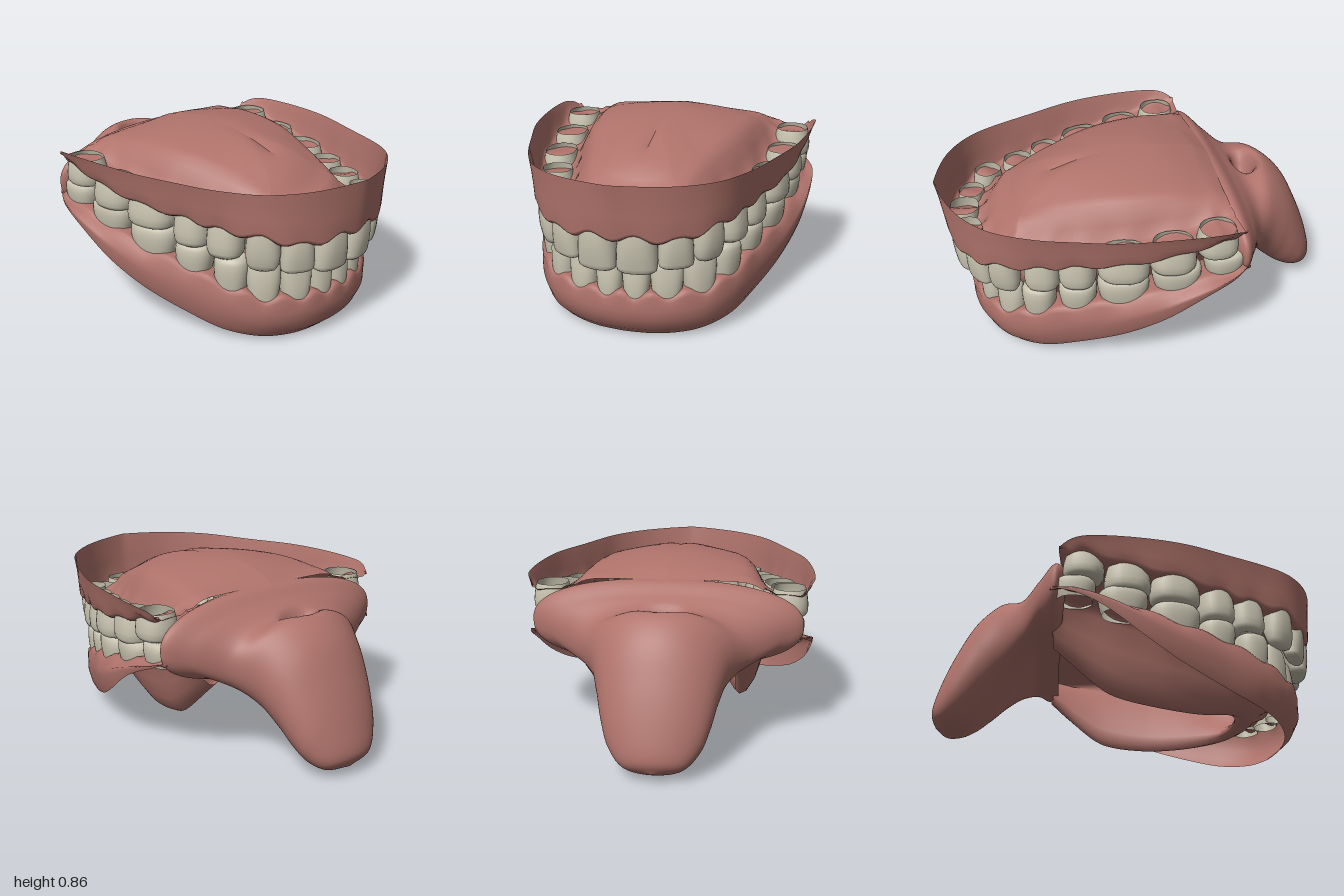
import * as THREE from 'three';

const gum = new THREE.MeshStandardMaterial({ color: 0xaf736b, side: THREE.DoubleSide });
gum.name = 'gum pink';
const enamel = new THREE.MeshStandardMaterial({ color: 0xc8c3b0, side: THREE.DoubleSide });
enamel.name = 'tooth ivory';

const V = (x, y, z) => new THREE.Vector3(x, y, z);
const lerp = THREE.MathUtils.lerp;

// Smooth surface through rows of points; closed joins each row's end to its start
function loft(rows, closed = false) {
  const m = rows[0].length, pos = [], idx = [];
  rows.forEach(r => r.forEach(p => pos.push(p.x, p.y, p.z)));
  for (let i = 0; i < rows.length - 1; i++) {
    for (let j = 0; j < (closed ? m : m - 1); j++) {
      const a = i * m + j, b = i * m + (j + 1) % m, c = a + m, d = b + m;
      idx.push(a, b, c, b, d, c);
    }
  }
  const g = new THREE.BufferGeometry();
  g.setAttribute('position', new THREE.Float32BufferAttribute(pos, 3));
  g.setIndex(idx);
  g.computeVertexNormals();
  return g;
}

function part(name, geo, mat) {
  const m = new THREE.Mesh(geo, mat);
  m.name = name;
  return m;
}

// Smooth lookup in a short table of [key, value], keys rising
function table(t, x) {
  const last = t.length - 1;
  if (x <= t[0][0]) return t[0][1];
  if (x >= t[last][0]) return t[last][1];
  const i = t.findIndex(e => x < e[0]), h = t[i][0] - t[i - 1][0], f = (x - t[i - 1][0]) / h;
  const slope = k => {
    const a = t[Math.max(0, k - 1)], b = t[Math.min(last, k + 1)];
    return (b[1] - a[1]) / (b[0] - a[0]) * h;
  };
  const s = f * f * (3 - 2 * f);
  return lerp(t[i - 1][1], t[i][1], s) + slope(i - 1) * f * (1 - f) ** 2 - slope(i) * f * f * (1 - f);
}

const sup = (c, n) => Math.sign(c) * Math.pow(Math.abs(c), 2 / n);

// Jaw data: one entry per tooth from the middle to the back, then the end of the gum
const upper = {
  at: [[.09, .86], [.25, .81], [.365, .71], [.43, .54], [.48, .38], [.545, .17], [.575, -.06], [.585, -.27], [.575, -.385]],
  w: [.185, .16, .16, .175, .18, .25, .225, .2, .2],
  d: [.16, .135, .14, .15, .16, .17, .17, .17, .14],
  gum: [.55, .535, .575, .58, .6, .625, .66, .71, .725],
  tip: [.36, .38, .385, .42, .445, .495, .53, .595, .6], dir: -1, scallop: .032,
};
const lower = {
  at: [[.062, .79], [.195, .76], [.325, .68], [.41, .56], [.47, .38], [.53, .17], [.57, -.08], [.58, -.31], [.57, -.42]],
  w: [.128, .15, .16, .165, .185, .25, .24, .2, .2],
  d: [.12, .12, .13, .14, .15, .16, .16, .15, .12],
  gum: [.21, .215, .225, .275, .335, .38, .45, .51, .53],
  tip: [.37, .37, .42, .425, .455, .505, .555, .6, .6], dir: 1, scallop: .028,
};
for (const j of [upper, lower]) {
  const half = j.at.map(([x, z]) => V(x, 0, z));
  j.curve = new THREE.CatmullRomCurve3([...half].reverse().concat(half.map(p => V(-p.x, 0, p.z))));
}

// Position, outward direction and interpolated sizes at index i (1..16 are teeth)
function sample(jaw, i) {
  const t = i / 17, p = jaw.curve.getPoint(t), tan = jaw.curve.getTangent(t);
  const u = Math.abs(i - 8.5), k = Math.max(0, u - .5);
  const val = a => { const f = Math.floor(k); return lerp(a[f], a[Math.min(8, f + 1)], k - f); };
  const n = V(tan.z, 0, -tan.x).normalize();
  const line = val(jaw.gum);
  const g = line + jaw.dir * Math.sin(Math.PI * i) ** 2 * lerp(jaw.scallop, .01, k / 8);
  return { p, n, u, d: val(jaw.d), line, g, out: (o, y) => V(p.x + n.x * o, y, p.z + n.z * o) };
}

const SECTIONS = 17 * 8;
function jawSheet(jaw, section) {
  const rows = [];
  for (let s = 0; s <= SECTIONS; s++) rows.push(section(sample(jaw, s / 8)));
  return loft(rows);
}

// Joins a section's inner point to the midline with a rounded rise
function toMidline(row, c, steps = 8) {
  const a = row[row.length - 1];
  for (let i = 1; i <= steps; i++) {
    const f = i / steps;
    row.push(V(lerp(a.x, c.x, f), lerp(a.y, c.y, 1 - (1 - f) ** 2), lerp(a.z, c.z, f)));
  }
  return row;
}

const palateY = [[-.4, .78], [-.3, .825], [-.1, .86], [.2, .84], [.42, .78], [.55, .725], [.66, .67], [.75, .62]];
const wallTop = [[0, .795], [3.5, .775], [6, .785], [7.3, .78], [8, .765], [8.5, .735]];
const wallOut = [[0, .125], [.5, .108], [1.5, .092], [2.5, .092], [3.5, .115], [5.5, .125], [7.5, .12], [8.5, .085]];
function upperSection({ p, d, g, line, u, out }) {
  const edge = table(wallTop, u), side = table(wallOut, u), h = d / 2;
  const c = V(0, 0, -.4 + (p.z + .4) * .64);
  c.y = table(palateY, c.z);
  const pe = table(palateY, out(-.22, 0).z) - table([[-.4, .02], [-.2, .045], [.3, .04], [.6, .02]], p.z);
  return toMidline([
    out(side, edge), out(lerp(side, h, .3), lerp(edge, line, .3)), out(lerp(side, h, .5), lerp(edge, line, .6)),
    out(h + .008, g + .02), out(h, g + .006), out(h * .8, g - .004), out(0, g), out(-h * .8, g),
    out(-h - .01, g + .015), out(-.125, lerp(line, pe, .4)), out(-.155, lerp(line, pe, .72)),
    out(-.185, lerp(line, pe, .9)), out(-.22, pe),
  ], c);
}

const hemY = [[-.4, .52], [-.2, .42], [0, .28], [.2, .17], [.5, .06], [.68, .015], [.78, 0]];
const floorY = [[-.42, .37], [-.2, .17], [-.1, .11], [.1, .075], [.3, .07], [.43, .085], [.6, .12]];
const tongueY = [[-.4, .52], [-.2, .535], [.1, .5], [.5, .42], [.7, .37]];
const bulgeOut = [[-.42, .07], [-.3, .12], [-.1, .128], [.3, .1], [.8, .068]];
const hemOut = [[-.42, .07], [-.3, .115], [-.1, .12], [.2, .08], [.5, .045], [.79, -.01]];
function lowerSection({ p, d, g, line, out }) {
  const e = Math.min(g, table(hemY, p.z)), h = d / 2;
  const bulge = table(bulgeOut, p.z), hem = table(hemOut, p.z);
  const f = table(floorY, out(-.22, 0).z), c = V(0, 0, -.4 + (p.z + .4) * .63);
  c.y = table(tongueY, c.z) + .015;
  const top = Math.max(line + .01, table(tongueY, p.z - .1));
  return toMidline([
    out(hem, e), out(lerp(hem, bulge, .6), lerp(e, line, .2)), out(bulge, lerp(e, line, .5)),
    out(bulge, lerp(e, line, .7)), out(h + .012, g - .02), out(h * .95, g - .004), out(h * .75, g + .004),
    out(0, g), out(-h * .8, g), out(-h - .015, g - .03), out(-.12, lerp(line, f, .45)),
    out(-.15, lerp(line, f, .75)), out(-.19, lerp(line, f, .95)), out(-.225, f),
    // the tongue rises from the floor and overhangs its own root
    out(-.25, lerp(f, line, .08)), out(-.25, lerp(f, line, .25)), out(-.215, lerp(f, line, .55)),
    out(-.165, lerp(f, line, .85)), out(-.115, lerp(line, top, .3)), out(-.1, lerp(line, top, .65)),
    out(-.12, lerp(line, top, .92)), out(-.17, top),
  ], c);
}

// Throat: rings given by roof [z, y], underside [z, y], half width and squareness
function throat() {
  const rings = [
    [-.33, .775, -.37, .37, .57, 2.4], [-.4, .783, -.41, .37, .655, 2.4], [-.48, .725, -.47, .37, .555, 2.3],
    [-.57, .685, -.55, .3, .405, 2.2], [-.67, .71, -.63, .21, .33, 2.1], [-.79, .62, -.71, .12, .285, 2],
    [-.89, .44, -.78, .06, .25, 2], [-.965, .25, -.84, .03, .205, 2], [-.998, .12, -.91, .02, .13, 2],
    [-.975, .05, -.96, .04, .003, 2],
  ];
  const roof = new THREE.CatmullRomCurve3(rings.map(r => V(r[4], r[1], r[0])));
  const under = new THREE.CatmullRomCurve3(rings.map(r => V(r[5] / 10, r[3], r[2])));
  const rows = [];
  for (let i = 0; i <= 72; i++) {
    const a = roof.getPoint(i / 72), b = under.getPoint(i / 72), row = [];
    for (let j = 0; j < 120; j++) {
      const t = j / 120 * Math.PI * 2, n = b.x * 10;
      const v = sup(Math.sin(t), n) / 2 + .5;
      const q = V(a.x * sup(Math.cos(t), n), lerp(b.y, a.y, v), lerp(b.z, a.z, v));
      // The uvula hangs from the roof as a hollow dent
      if (v > .75) q.y -= .14 * Math.exp(-(((q.x / .075) ** 2 + ((q.z + .6) / .05) ** 2) ** 1.5));
      row.push(q);
    }
    rows.push(row);
  }
  return loft(rows, true);
}

// Tooth shell, open at the root; profile pairs are [radius, height]
function tooth(w, d, h, kind, dir) {
  const end = kind === 'molar' ? [[.98, .82], [.88, .93], [.62, 1], [.3, .96], [0, .93]]
    : kind === 'canine' ? [[.93, .83], [.76, .94], [.42, .99], [0, 1]]
      : [[1, .87], [.95, .95], [.8, .992], [0, 1]];
  const profile = [[.84, 0], [.91, .18], [.97, .4], [1, .62], ...end];
  const rows = profile.map(([r, t]) => {
    const thin = kind === 'molar' ? 1 : 1 - .5 * t ** 1.5;
    const row = [];
    for (let j = 0; j < 28; j++) {
      const a = j / 28 * Math.PI * 2;
      row.push(V(w / 2 * r * sup(Math.cos(a), 2.5), dir * h * t,
        d / 2 * r * thin * sup(Math.sin(a), 2.2) + (1 - thin) * d * .2));
    }
    return row;
  });
  return loft(rows, true);
}

function teeth(jaw, name) {
  const row = new THREE.Group();
  row.name = name;
  for (let i = 1; i <= 16; i++) {
    const { p, n } = sample(jaw, i), k = Math.round(Math.abs(i - 8.5) - .5);
    const kind = k < 2 ? 'incisor' : k === 2 ? 'canine' : 'molar';
    const base = jaw.gum[k] - jaw.dir * .025;
    const m = part(kind, tooth(jaw.w[k], jaw.d[k] * 1.08, Math.abs(jaw.tip[k] - base), kind, jaw.dir), enamel);
    m.position.set(p.x, base, p.z);
    m.rotation.y = Math.atan2(n.x, n.z);
    row.add(m);
  }
  return row;
}

export function createModel() {
  const model = new THREE.Group();
  model.name = 'mouth';
  model.add(
    part('upperGumAndPalate', jawSheet(upper, upperSection), gum),
    part('lowerGumAndTongue', jawSheet(lower, lowerSection), gum),
    part('throat', throat(), gum),
    teeth(upper, 'upperTeeth'),
    teeth(lower, 'lowerTeeth'),
  );
  return model;
}
